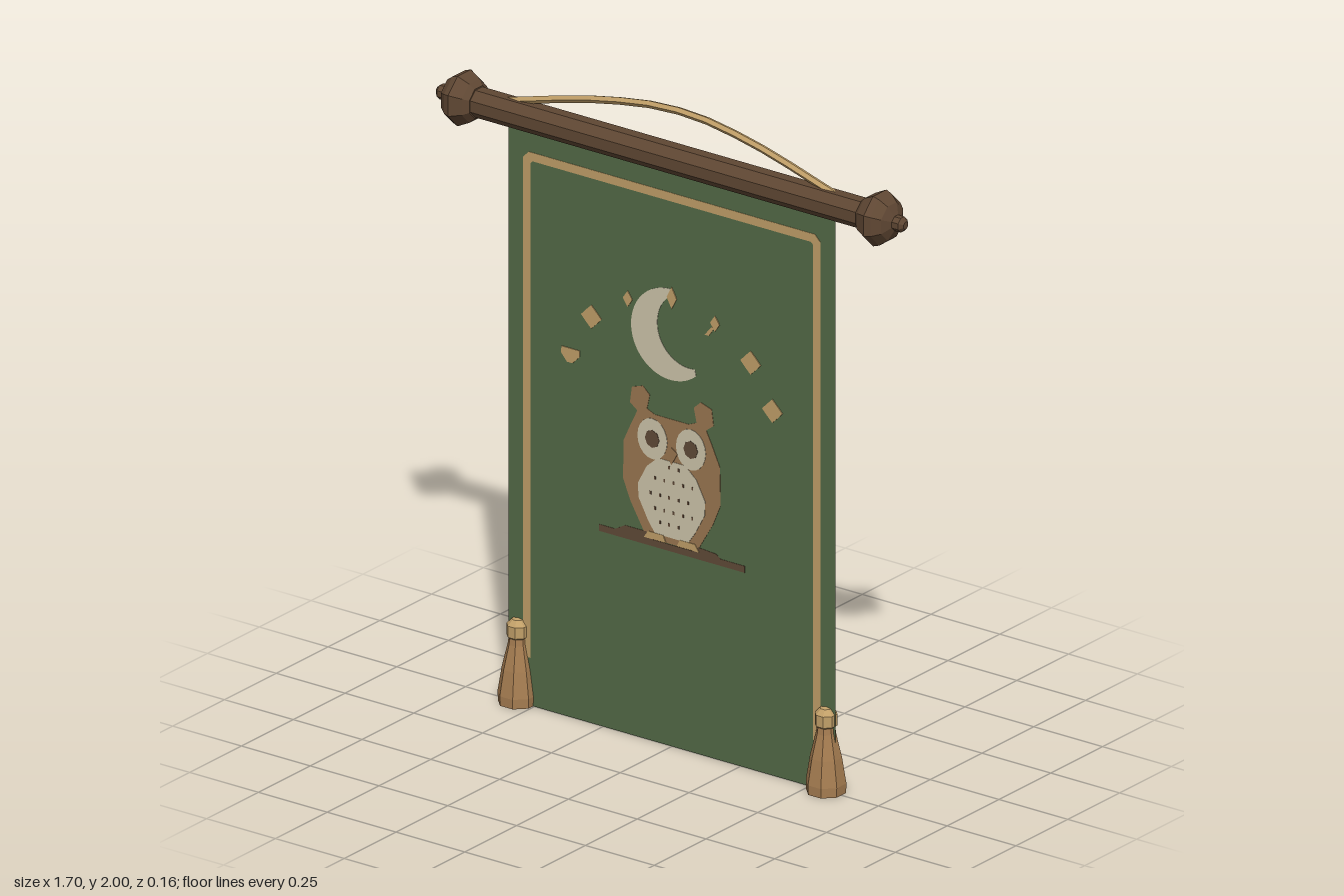
import * as THREE from 'three';

const mat = (name, color, side = THREE.FrontSide) => {
  const m = new THREE.MeshStandardMaterial({ color, side });
  m.name = name;
  return m;
};

// Faceted normals for the low-poly carved and braided parts
function flat(geometry) {
  const g = geometry.index ? geometry.toNonIndexed() : geometry;
  g.computeVertexNormals();
  return g;
}

const polygon = pts => new THREE.Shape(pts.map(([x, y]) => new THREE.Vector2(x, y)));

// Closed outline from its right half, listed top to bottom
const symmetric = half => polygon([...half, ...half.slice().reverse().map(([x, y]) => [-x, y])]);

function ellipse(x, y, rx, ry, n = 20) {
  return polygon(Array.from({ length: n }, (_, i) => {
    const a = (i / n) * Math.PI * 2;
    return [x + rx * Math.cos(a), y + ry * Math.sin(a)];
  }));
}

function star(x, y, rx, ry = rx) {
  return polygon(Array.from({ length: 8 }, (_, i) => {
    const a = (i * Math.PI) / 4, k = i % 2 ? 0.72 : 1;
    return [x + k * rx * Math.cos(a), y + k * ry * Math.sin(a)];
  }));
}

const rect = (x0, y0, x1, y1) => polygon([[x0, y0], [x1, y0], [x1, y1], [x0, y1]]);

export function createModel() {
  const root = new THREE.Group();
  root.name = 'wallHanging';

  const wood = mat('darkWood', 0x5f4733);
  const green = mat('greenCloth', 0x536a46, THREE.DoubleSide);
  const tan = mat('goldenTan', 0xc19f68);
  const strand = mat('tasselBrown', 0xa67d51);
  const cream = mat('cream', 0xcdc4aa);
  const fur = mat('owlBrown', 0x997650);
  const bark = mat('barkBrown', 0x604a37);

  const add = (name, geometry, material, parent = root) => {
    const mesh = new THREE.Mesh(geometry, material);
    mesh.name = name;
    parent.add(mesh);
    return mesh;
  };

  // Motifs run through the cloth, so each plate shows on both faces
  const motif = (name, shapes, material, layer, parent = root) => {
    const depth = 0.0024 * layer;
    const g = new THREE.ExtrudeGeometry(shapes, { depth, bevelEnabled: false, curveSegments: 20 });
    return add(name, g.translate(0, 0, -depth / 2), material, parent);
  };

  // Hanging rod, octagonal with flat top
  const rod = new THREE.CylinderGeometry(0.046, 0.046, 1.44, 8);
  add('rod', flat(rod.rotateY(Math.PI / 8).rotateZ(Math.PI / 2).translate(0, 1.85, 0)), wood);

  // Turned finials at both ends
  const finialProfile = [[0, 0.7], [0.05, 0.702], [0.066, 0.718], [0.085, 0.755], [0.078, 0.775],
    [0.058, 0.8], [0.024, 0.815], [0.024, 0.838], [0.012, 0.85], [0, 0.85]]
    .map(([r, y]) => new THREE.Vector2(r, y));
  for (const s of [1, -1]) {
    const g = new THREE.LatheGeometry(finialProfile, 8, Math.PI / 8);
    const finial = add(s > 0 ? 'leftFinial' : 'rightFinial', flat(g), wood);
    finial.rotation.z = -s * Math.PI / 2;
    finial.position.y = 1.85;
  }

  // Hanging cord, leaning back to the wall
  const cordPath = new THREE.CatmullRomCurve3([[-0.62, 1.875, 0], [-0.31, 1.952, -0.019],
    [-0.1, 1.984, -0.03], [0, 1.988, -0.032], [0.1, 1.984, -0.03], [0.31, 1.952, -0.019],
    [0.62, 1.875, 0]].map(p => new THREE.Vector3(...p)));
  add('cord', flat(new THREE.TubeGeometry(cordPath, 12, 0.012, 5)), tan);

  // Cloth
  add('cloth', new THREE.PlaneGeometry(1.19, 1.85).translate(0, 0.925, 0), green);

  // Border band, open at the bottom
  motif('border', symmetric([[0.52, 1.74], [0.54, 1.72], [0.54, 0.15], [0.514, 0.15],
    [0.514, 1.705], [0.506, 1.713]]), tan, 1);

  // Crescent moon
  const moon = new THREE.Shape();
  moon.absarc(-0.005, 1.294, 0.143, 1.5, 5.42, false);
  moon.absarc(0.064, 1.321, 0.117, 4.88, 2.18, true);
  motif('moon', moon, cream, 1);

  // Stars
  motif('stars', [
    star(-0.292, 1.278, 0.037), star(0.287, 1.278, 0.037), star(0.366, 1.146, 0.037),
    polygon([[-0.4, 1.16], [-0.335, 1.16], [-0.335, 1.14], [-0.36, 1.115], [-0.38, 1.115], [-0.402, 1.14]]),
    star(-0.16, 1.368, 0.017, 0.025), star(0.157, 1.368, 0.017, 0.025),
    star(0, 1.41, 0.018, 0.034),
    polygon([[0.12, 1.325], [0.135, 1.325], [0.157, 1.355], [0.145, 1.355]]),
  ], tan, 2);

  // Branch
  motif('branch', [rect(-0.265, 0.612, 0.265, 0.633),
    polygon([[-0.22, 0.625], [-0.06, 0.625], [-0.09, 0.653], [-0.17, 0.653]]),
    polygon([[0.07, 0.625], [0.19, 0.625], [0.16, 0.645], [0.09, 0.65]])], bark, 1);

  // Owl
  const owl = new THREE.Group();
  owl.name = 'owl';
  root.add(owl);
  motif('owlBody', symmetric([[0.062, 1.028], [0.09, 1.04], [0.08, 1.085], [0.105, 1.108],
    [0.145, 1.095], [0.152, 1.045], [0.125, 1.025], [0.145, 0.985], [0.175, 0.92], [0.177, 0.8],
    [0.15, 0.735], [0.1, 0.65], [0.05, 0.635]]), fur, 1, owl);
  motif('belly', symmetric([[0.05, 0.895], [0.09, 0.86], [0.122, 0.8], [0.12, 0.755],
    [0.085, 0.69], [0.06, 0.655]]), cream, 2, owl);
  motif('feet', [-1, 1].map(s => polygon([[s * 0.02, 0.635], [s * 0.1, 0.635],
    [s * 0.085, 0.657], [s * 0.03, 0.657]])), tan, 3, owl);
  motif('faceDiscs', [-1, 1].map(s => ellipse(s * 0.07, 0.95, 0.054, 0.064)), cream, 2, owl);
  motif('eyes', [-1, 1].map(s => ellipse(s * 0.07, 0.95, 0.026, 0.028, 8)), bark, 3, owl);
  motif('beak', polygon([[-0.022, 0.925], [0, 0.94], [0.022, 0.925], [0, 0.885]]), fur, 3, owl);

  // Breast flecks
  const flecks = [];
  [0.875, 0.83, 0.78, 0.735, 0.695].forEach((y, row) => {
    for (let i = -2; i <= 2; i++) {
      const x = i * 0.034 + (row % 2 ? 0.008 : -0.008);
      if (Math.abs(x) < [0.04, 0.08, 0.08, 0.08, 0.06][row]) flecks.push(rect(x - 0.003, y - 0.005, x + 0.003, y + 0.005));
    }
  });
  motif('breastFlecks', flecks, bark, 3, owl);

  // Corner tassels: skirt, knot and dark underside
  const lathe = pts => flat(new THREE.LatheGeometry(pts.map(([r, y]) => new THREE.Vector2(r, y)), 8, Math.PI / 8));
  for (const s of [1, -1]) {
    const tassel = new THREE.Group();
    tassel.name = s > 0 ? 'leftTassel' : 'rightTassel';
    tassel.position.x = s * 0.56;
    root.add(tassel);
    add('tasselSkirt', lathe([[0.06, 0], [0.061, 0.03], [0.048, 0.11], [0.03, 0.185], [0.027, 0.21]]), strand, tassel);
    add('tasselKnot', lathe([[0.026, 0.203], [0.034, 0.21], [0.034, 0.245], [0.018, 0.262], [0, 0.265]]), tan, tassel);
    add('tasselUnderside', lathe([[0, 0.004], [0.06, 0]]), bark, tassel);
  }
  return root;
}
